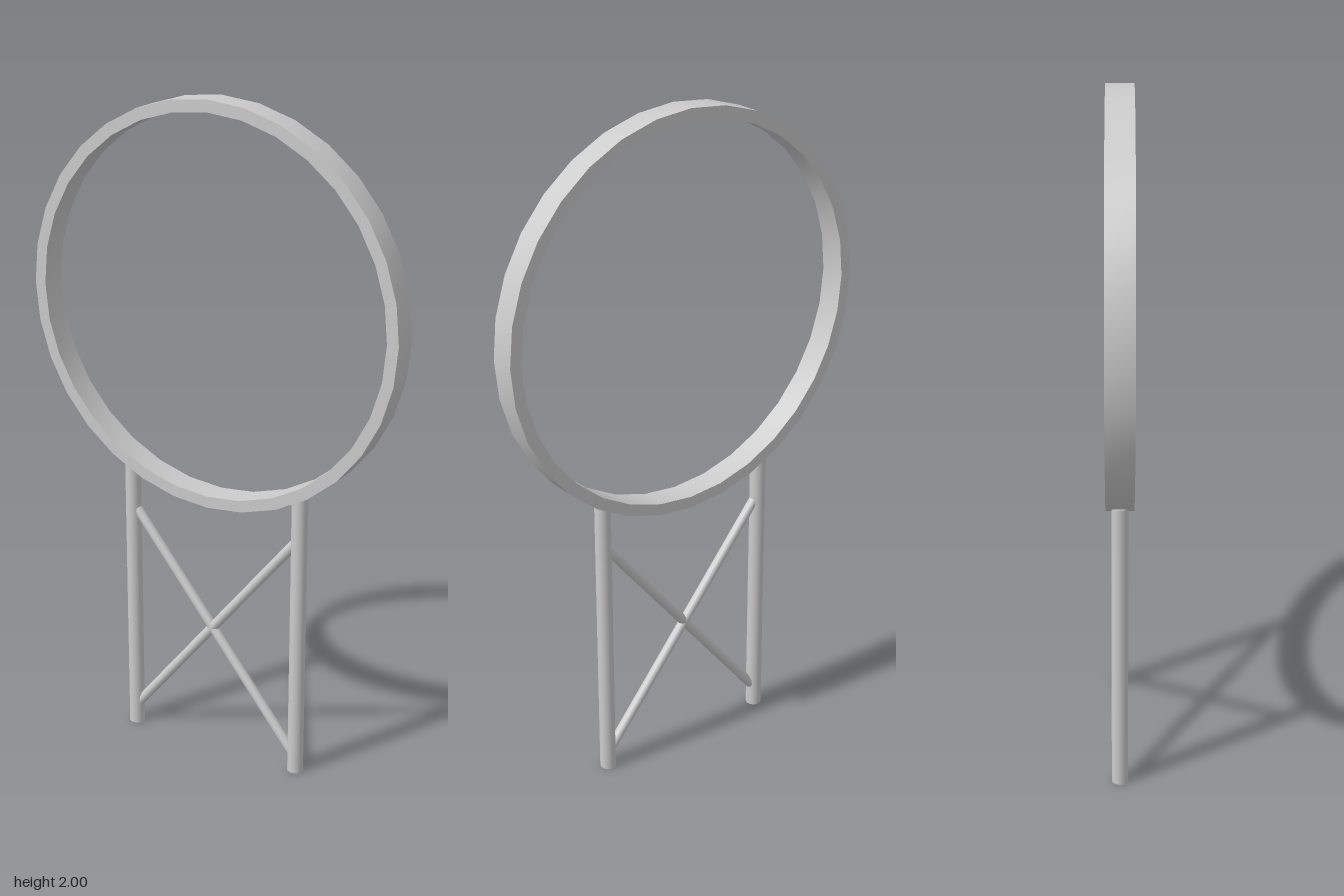
import * as THREE from 'three';
import { toCreasedNormals } from 'three/addons/utils/BufferGeometryUtils.js';

const material = new THREE.MeshStandardMaterial({ color: 0xcccccc });

// Round bar between two points in the plane z = 0
function bar(name, radius, sides, from, to) {
  const a = new THREE.Vector3(from[0], from[1], 0);
  const b = new THREE.Vector3(to[0], to[1], 0);
  const direction = b.clone().sub(a);
  const mesh = new THREE.Mesh(
    new THREE.CylinderGeometry(radius, radius, direction.length(), sides), material);
  mesh.position.copy(a).add(b).multiplyScalar(0.5);
  mesh.quaternion.setFromUnitVectors(new THREE.Vector3(0, 1, 0), direction.normalize());
  mesh.name = name;
  return mesh;
}

export function createModel() {
  const group = new THREE.Group();
  group.name = 'hoopOnStand';

  // Hoop: a flat rectangular band turned around its axis
  const outer = 0.595, inner = 0.56, half = 0.04;
  const profile = [[outer, -half], [outer, half], [inner, half], [inner, -half], [outer, -half]]
    .map(([r, y]) => new THREE.Vector2(r, y));
  const hoop = new THREE.Mesh(
    toCreasedNormals(new THREE.LatheGeometry(profile, 32), 0.6), material);
  hoop.rotation.x = Math.PI / 2;
  hoop.position.y = 1.405;
  hoop.name = 'hoop';
  group.add(hoop);

  // Upright posts
  group.add(bar('leftPost', 0.024, 16, [0.286, 0], [0.286, 0.895]));
  group.add(bar('rightPost', 0.024, 16, [-0.286, 0], [-0.286, 0.895]));

  // Crossed braces
  group.add(bar('risingBrace', 0.015, 12, [-0.272, 0.073], [0.272, 0.745]));
  group.add(bar('fallingBrace', 0.015, 12, [-0.272, 0.733], [0.272, 0.06]));

  return group;
}
